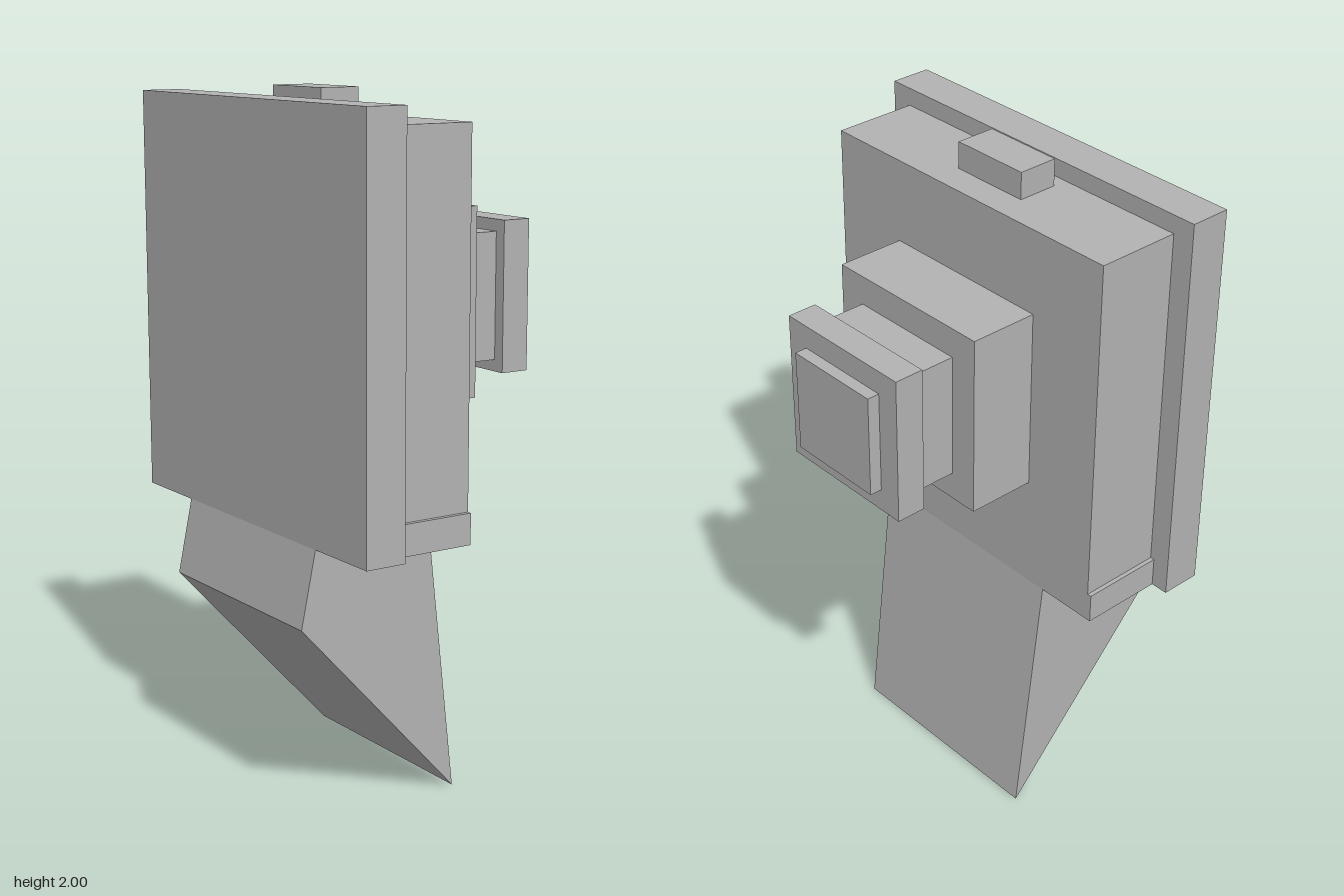
import * as THREE from 'three';

export function createModel() {
  const group = new THREE.Group();
  group.name = 'handheldDevice';
  const grey = new THREE.MeshStandardMaterial({ color: 0xb2b2b2, flatShading: true });
  grey.name = 'grey';

  // Box from its x and y ranges and its half depth, centred on z = 0
  const block = (name, x0, x1, y0, y1, halfZ) => {
    const mesh = new THREE.Mesh(new THREE.BoxGeometry(x1 - x0, y1 - y0, halfZ * 2), grey);
    mesh.position.set((x0 + x1) / 2, (y0 + y1) / 2, 0);
    mesh.name = name;
    group.add(mesh);
  };

  // Housing
  block('backPlate', -0.403, -0.28, 0.78, 1.973, 0.59);
  block('body', -0.28, -0.025, 0.87, 1.92, 0.523);
  block('bodyBaseTrim', -0.28, -0.025, 0.78, 0.87, 0.536);
  block('topButton', -0.237, -0.115, 1.92, 2.0, 0.124);

  // Stepped square barrel on the +x face
  block('barrelBase', -0.025, 0.184, 1.123, 1.67, 0.274);
  block('barrelNeck', 0.184, 0.32, 1.207, 1.582, 0.187);
  block('barrelCollar', 0.32, 0.41, 1.172, 1.617, 0.224);
  block('barrelTip', 0.41, 0.447, 1.24, 1.547, 0.153);

  // Wedge-shaped handle, extruded along z
  const profile = new THREE.Shape([
    [-0.403, 0.78], [-0.449, 0.56], [0.063, 0], [-0.025, 0.78],
  ].map(([x, y]) => new THREE.Vector2(x, y)));
  const halfWidth = 0.343;
  const geometry = new THREE.ExtrudeGeometry(profile, { depth: halfWidth * 2, bevelEnabled: false });
  geometry.translate(0, 0, -halfWidth);
  const handle = new THREE.Mesh(geometry, grey);
  handle.name = 'handle';
  group.add(handle);

  return group;
}
